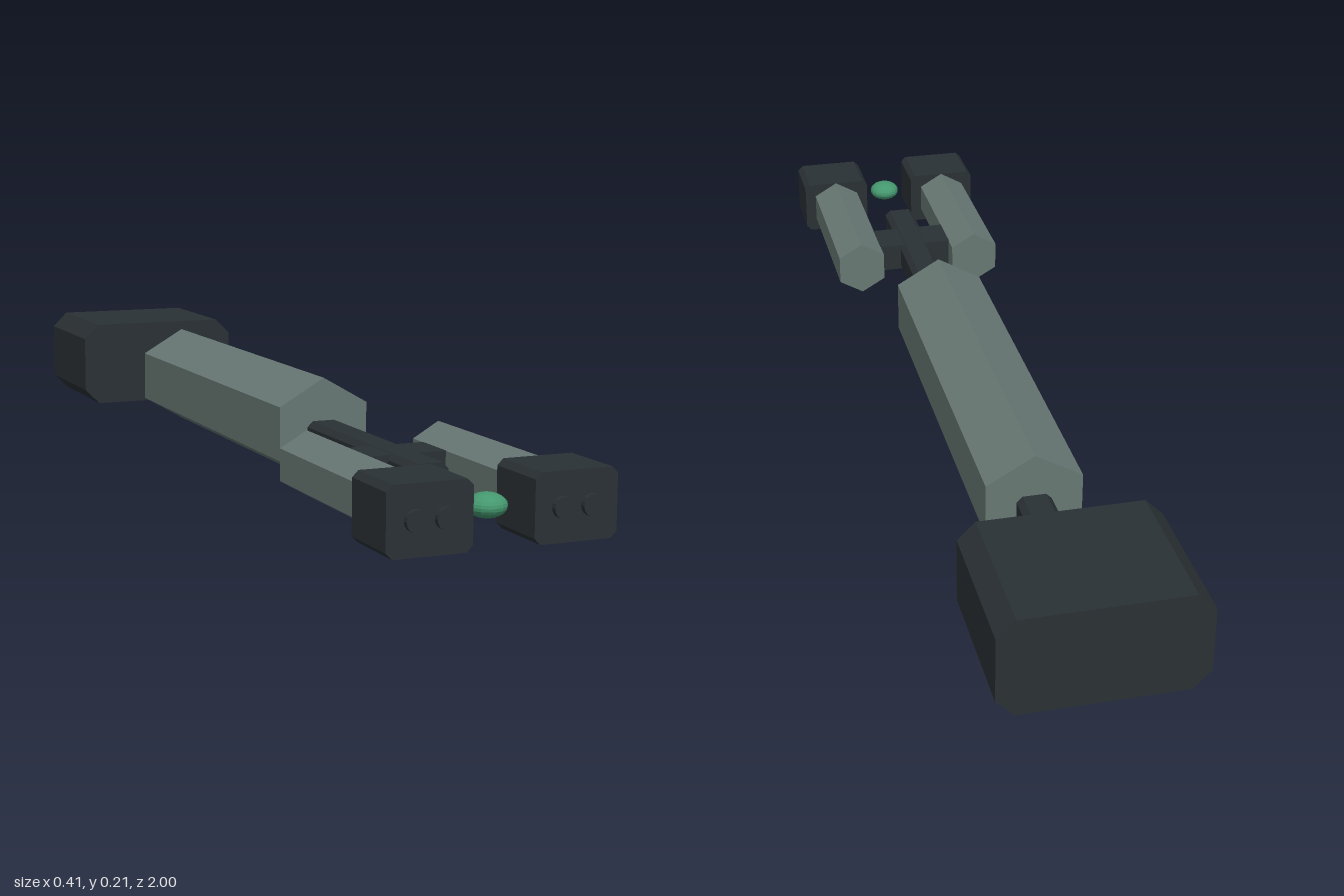
import * as THREE from 'three';

const mat = (color) => new THREE.MeshStandardMaterial({ color, flatShading: true });

// Prism along z from a closed outline of [x, y] points
function prism(points, z0, z1) {
  const shape = new THREE.Shape(points.map(([x, y]) => new THREE.Vector2(x, y)));
  const geo = new THREE.ExtrudeGeometry(shape, { depth: z1 - z0, bevelEnabled: false });
  return geo.translate(0, 0, z0);
}

// Rectangle with cut corners
function chamfered(w, h, c) {
  const x = w / 2, y = h / 2;
  return [
    [x - c, -y], [x, -y + c], [x, y - c], [x - c, y],
    [-x + c, y], [-x, y - c], [-x, -y + c], [-x + c, -y],
  ];
}

// Regular hexagon with a corner at the top
function hexagon(r) {
  return Array.from({ length: 6 }, (_, i) => {
    const a = Math.PI / 6 + (i * Math.PI) / 3;
    return [r * Math.cos(a), r * Math.sin(a)];
  });
}

export function createModel() {
  const model = new THREE.Group();
  model.name = 'model';
  const dark = mat(0x2a3134);
  const grey = mat(0x687874);
  const green = mat(0x45986f);

  function add(name, geo, material, x, y, z = 0) {
    const mesh = new THREE.Mesh(geo, material);
    mesh.name = name;
    mesh.position.set(x, y, z);
    model.add(mesh);
    return mesh;
  }

  // Main body and the heavy block at the back
  add('body', prism(hexagon(0.1045), -0.545, 0.28), grey, 0, 0.1065);
  add('rearBlock', prism(chamfered(0.365, 0.189, 0.033), -1, -0.72), dark, 0, 0.1135);

  // Rods leaving both ends of the body
  const rod = chamfered(0.066, 0.064, 0.011);
  add('frontRod', prism(rod, 0.28, 0.735), dark, 0, 0.096);
  add('rearRod', prism(rod, -0.72, -0.545), dark, 0, 0.096);

  // Bar joining the two side arms
  add('crossBar', new THREE.BoxGeometry(0.2, 0.06, 0.09), dark, 0, 0.096, 0.59);

  // Side arms with their end blocks and paired nozzles
  for (const [side, s] of [['left', 1], ['right', -1]]) {
    add(side + 'Arm', prism(hexagon(0.059), 0.505, 0.87), grey, s * 0.131, 0.096);
    add(side + 'ArmBlock', prism(chamfered(0.151, 0.118, 0.011), 0.865, 0.99), dark, s * 0.1305, 0.096);
    for (const x of [0.104, 0.157]) {
      const nozzle = new THREE.CylinderGeometry(0.0185, 0.0185, 0.02, 16).rotateX(Math.PI / 2);
      add(side + 'Nozzle', nozzle, dark, s * x, 0.096, 0.99);
    }
  }

  // Flattened glowing core between the end blocks
  const core = add('core', new THREE.SphereGeometry(0.034, 16, 12), green, 0, 0.096, 0.932);
  core.scale.y = 0.62;

  return model;
}
